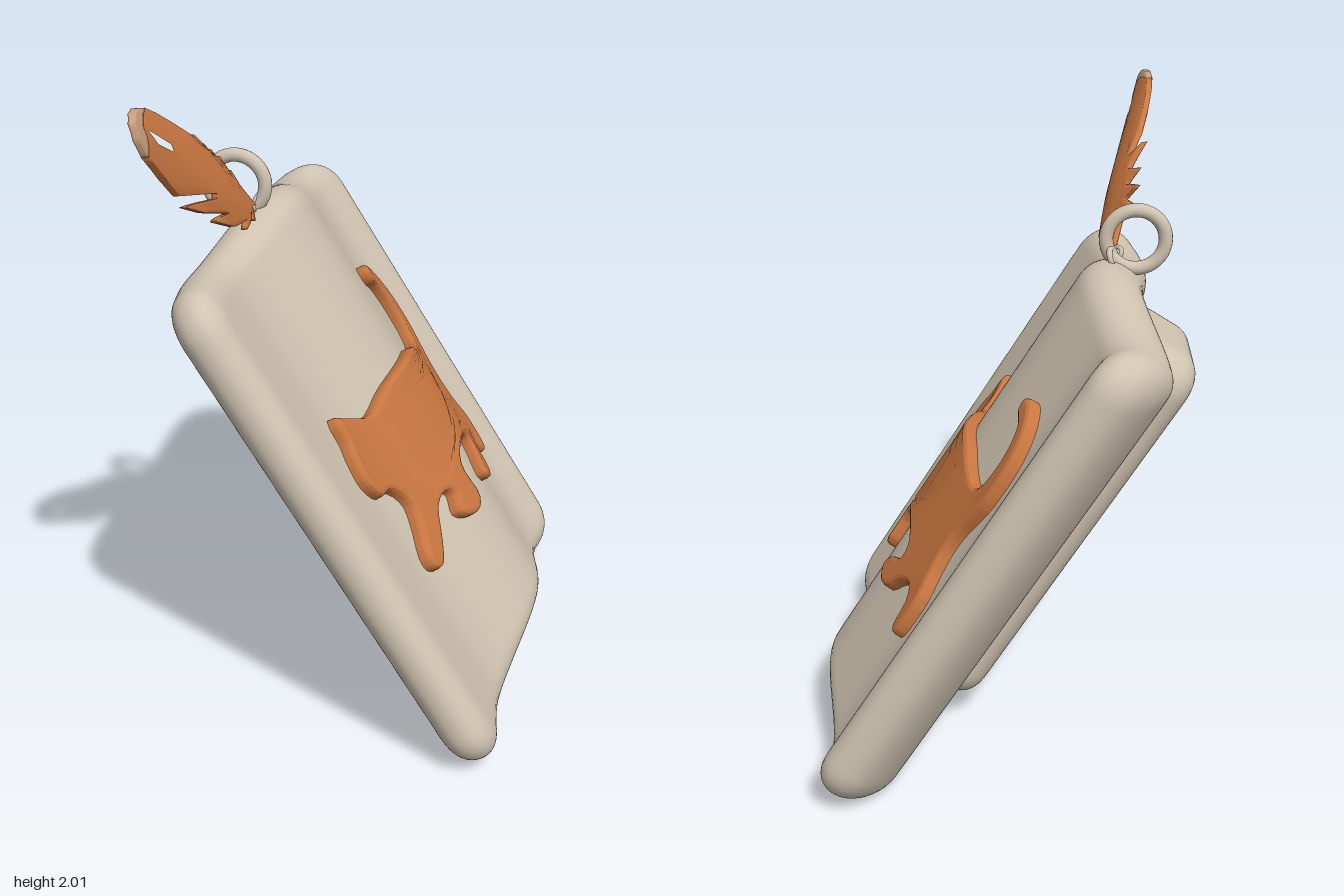
import * as THREE from 'three';
import { mergeVertices } from 'three/addons/utils/BufferGeometryUtils.js';

const stone = new THREE.MeshStandardMaterial({ color: 0xcfc3b0 });
const orange = new THREE.MeshStandardMaterial({ color: 0xc87640 });
const paleTip = new THREE.MeshStandardMaterial({ color: 0xc89c7c });
stone.name = 'stone';
orange.name = 'orange';
paleTip.name = 'paleTip';

const WIDTH = 1.495, HEIGHT = 1.69, THICK = 0.2;

// Heights of the slab faces, and slide of its edges, at its ends, troughs and crest
const STATIONS = [-0.745, -0.41, 0.08, 0.54, 0.755];
const FRONT = [0.12, 0.085, 0.185, 0.092, 0.135];
const BACK = [-0.04, -0.102, -0.035, -0.13, -0.045];
const SLIDE = [-0.055, -0.048, -0.003, -0.043, -0.045];
function wave(levels, u) {
  let i = 0;
  while (i < 3 && u > STATIONS[i + 1]) i++;
  return THREE.MathUtils.lerp(levels[i], levels[i + 1], THREE.MathUtils.smoothstep(u, STATIONS[i], STATIONS[i + 1]));
}

function mesh(name, geometry, material) {
  const m = new THREE.Mesh(geometry, material);
  m.name = name;
  return m;
}

// Moves every vertex by a rule, then smooths the result
function reshape(geometry, rule) {
  const p = geometry.attributes.position, v = new THREE.Vector3();
  for (let i = 0; i < p.count; i++) {
    rule(v.fromBufferAttribute(p, i));
    p.setXYZ(i, v.x, v.y, v.z);
  }
  geometry.computeVertexNormals();
  return geometry;
}

function weld(geometry) {
  geometry.deleteAttribute('normal');
  geometry.deleteAttribute('uv');
  geometry.clearGroups();
  return mergeVertices(geometry, 1e-5);
}

// Finely divided block: corner radius R in outline, edge radius r through the depth
function roundedBlock(w, h, d, R, r, nw, nh, nd) {
  const clamp = (x, lim) => THREE.MathUtils.clamp(x, -lim, lim);
  return reshape(weld(new THREE.BoxGeometry(w, h, d, nw, nh, nd)), (p) => {
    const cx = clamp(p.x, w / 2 - R), cy = clamp(p.y, h / 2 - R), cz = clamp(p.z, d / 2 - r);
    const dx = p.x - cx, dy = p.y - cy, dz = p.z - cz;
    const reach = Math.max(Math.abs(dx), Math.abs(dy));
    const edge = Math.max(0, reach - (R - r));
    const k = r / (Math.hypot(edge, dz) || r);
    const scale = (reach - edge + edge * k) / (Math.hypot(dx, dy) || 1);
    p.set(cx + dx * scale, cy + dy * scale, cz + dz * k);
  });
}

// Splits each triangle in four so a flat plate can be bent
function subdivide(geometry, times) {
  let tri = Array.from((geometry.index ? geometry.toNonIndexed() : geometry).attributes.position.array);
  for (let k = 0; k < times; k++) {
    const out = [];
    for (let i = 0; i < tri.length; i += 9) {
      const [a, b, c] = [0, 3, 6].map((o) => tri.slice(i + o, i + o + 3));
      const mid = (p, q) => p.map((x, j) => (x + q[j]) / 2);
      const ab = mid(a, b), bc = mid(b, c), ca = mid(c, a);
      out.push(...a, ...ab, ...ca, ...ab, ...b, ...bc, ...ca, ...bc, ...c, ...ab, ...bc, ...ca);
    }
    tri = out;
  }
  const g = new THREE.BufferGeometry();
  g.setAttribute('position', new THREE.Float32BufferAttribute(tri, 3));
  return g;
}

// Outline lists hold z, y pairs in hundredths
function points(list) {
  const pts = [];
  for (let i = 0; i < list.length; i += 2) pts.push(new THREE.Vector2(-list[i] / 100, list[i + 1] / 100));
  return pts;
}

const CAT = [
  36, 102, 30, 98.5, 23, 96, 11, 100.5, -2, 102.5, -14, 101.5, -23, 98, -31, 95.5, -36.5, 96,
  -40.5, 101.5, -42, 109, -40, 115, -35, 118, -34.5, 121.5, -37.5, 123, -42, 121, -47, 115, -49, 107,
  -47, 97, -43, 90, -39, 84, -37, 78, -37.5, 71, -39.5, 63.5, -37.5, 54.5, -34.5, 51, -32, 53,
  -31.5, 59, -26.5, 62, -19, 60, -12, 55, -6, 55, -2.5, 58.5, -6, 62, -12, 64, -13, 68,
  -6.5, 71.5, 3, 72, 9.5, 68, 11.5, 59, 16, 55.5, 20.5, 56, 23, 59, 20, 64, 21.5, 66,
  27.5, 64, 35, 56, 41.5, 51, 45.5, 52.5, 45, 56.5, 38.5, 63.5, 34.5, 70.5, 37, 76.5, 43.5, 78,
  46.5, 84, 44, 90, 40, 95, 38, 100,
];

const FEATHER = [
  40, 199, 34, 196, 25.5, 190.5, 19, 185.5, 14.5, 179, 13, 184, 10.5, 176.5, 6, 177.5, 6.5, 172.5,
  0, 173.5, 2.5, 168.5, -2, 168.5, -1, 164, -7, 155.5, 0, 157.5, 5.5, 154.5, 5, 158, 12, 154,
  11, 157, 17.5, 157, 27.5, 162, 20, 162, 31, 166, 41, 171, 24.5, 168, 24.5, 169.5, 40, 174,
  45.5, 180.5, 51.5, 188.5, 50, 193, 49.5, 196.5, 45.5, 198.5,
];
const FEATHER_SLOT = [48, 195, 44, 192, 39.5, 188.5, 40, 186.5, 46, 190.5];
const FEATHER_TIP = [
  51.5, 188.5, 53.5, 193.5, 53, 198, 50, 200, 45.5, 200.3, 40, 199, 45.5, 198.5, 49.5, 196.5, 50, 193,
];

// Cat relief, bent to lie on the wavy face
function catGeometry() {
  const t = 0.04, sunk = 0.025;
  const outline = new THREE.SplineCurve([...points(CAT), points(CAT)[0]]).getPoints(170);
  outline.pop();
  const plate = new THREE.ExtrudeGeometry(new THREE.Shape(outline), {
    depth: t + sunk - 0.018, steps: 1, bevelEnabled: true, bevelThickness: 0.018,
    bevelSize: 0.014, bevelOffset: -0.014, bevelSegments: 2,
  });
  return reshape(weld(subdivide(plate, 2)), (p) => {
    let u = p.x, v = 0;
    for (let i = 0; i < 10; i++) {
      const n = wave(FRONT, u) + t;
      v = (p.y - 0.775 - 0.53 * n) / 0.848;
      u = (p.x - 0.0155 - 0.2 * v + 0.322 * n) / 0.925;
    }
    p.set(u, v, wave(FRONT, u) - sunk + p.z);
  });
}

// Position of the cupped feather surface
function featherX(z, y) {
  const d = (y - 1.555) * 0.79 - (z + 0.07) * 0.61;
  const cup = Math.max(0, 1 - (d / 0.14) ** 2) * THREE.MathUtils.smoothstep(z, -0.1, 0.2);
  return 0.452 - 0.33 * z - 0.53 * y + 0.06 * cup;
}

function featherPlate(list, hole) {
  const shape = new THREE.Shape(points(list));
  if (hole) shape.holes.push(new THREE.Path(points(hole)));
  const plate = new THREE.ExtrudeGeometry(shape, { depth: 0.02, bevelEnabled: false });
  return reshape(weld(subdivide(plate, 2)), (p) => p.set(featherX(-p.x, p.y) + p.z, p.y, -p.x));
}

function ring(name, x, y, z, radius, tube, turn, tilt = 0) {
  const m = mesh(name, new THREE.TorusGeometry(radius, tube, 14, 40), stone);
  m.position.set(x, y, z);
  m.rotation.set(tilt, turn, 0);
  return m;
}

export function createModel() {
  const model = new THREE.Group();
  model.name = 'catPendant';

  // Leaning body: x across, y up the slab, z out of the face
  const body = new THREE.Group();
  body.name = 'leaningBody';
  body.applyMatrix4(new THREE.Matrix4().makeBasis(
    new THREE.Vector3(0.38, 0, -0.925).normalize(),
    new THREE.Vector3(-0.49, 0.848, -0.2).normalize(),
    new THREE.Vector3(0.784, 0.53, 0.322).normalize(),
  ).setPosition(0.015, 0.775, -0.0155));
  model.add(body);

  const slab = reshape(roundedBlock(WIDTH, HEIGHT, THICK, 0.135, 0.095, 80, 80, 12), (p) => {
    p.x += 0.006;
    p.y += wave(SLIDE, p.x);
    p.z = THREE.MathUtils.lerp(wave(BACK, p.x), wave(FRONT, p.x), p.z / THICK + 0.5);
  });
  body.add(mesh('wavySlab', slab, stone));

  const strut = mesh('backStrut', roundedBlock(0.47, 1.4, 0.27, 0.12, 0.085, 30, 60, 18), stone);
  strut.position.set(-0.005, 0.035, -0.155);
  body.add(strut);

  body.add(mesh('catRelief', catGeometry(), orange));

  // Hanging ring and small links
  model.add(ring('hangingRing', -0.38, 1.605, -0.145, 0.092, 0.022, -0.39));
  model.add(ring('smallLink', -0.31, 1.55, -0.135, 0.03, 0.009, 0.8, 0.5));
  model.add(ring('smallLink', -0.345, 1.55, -0.085, 0.018, 0.007, -1.0, 0.9));

  // Feather
  const feather = new THREE.Group();
  feather.name = 'feather';
  feather.add(mesh('featherVane', featherPlate(FEATHER, FEATHER_SLOT), orange));
  feather.add(mesh('featherTip', featherPlate(FEATHER_TIP), paleTip));
  model.add(feather);

  return model;
}
